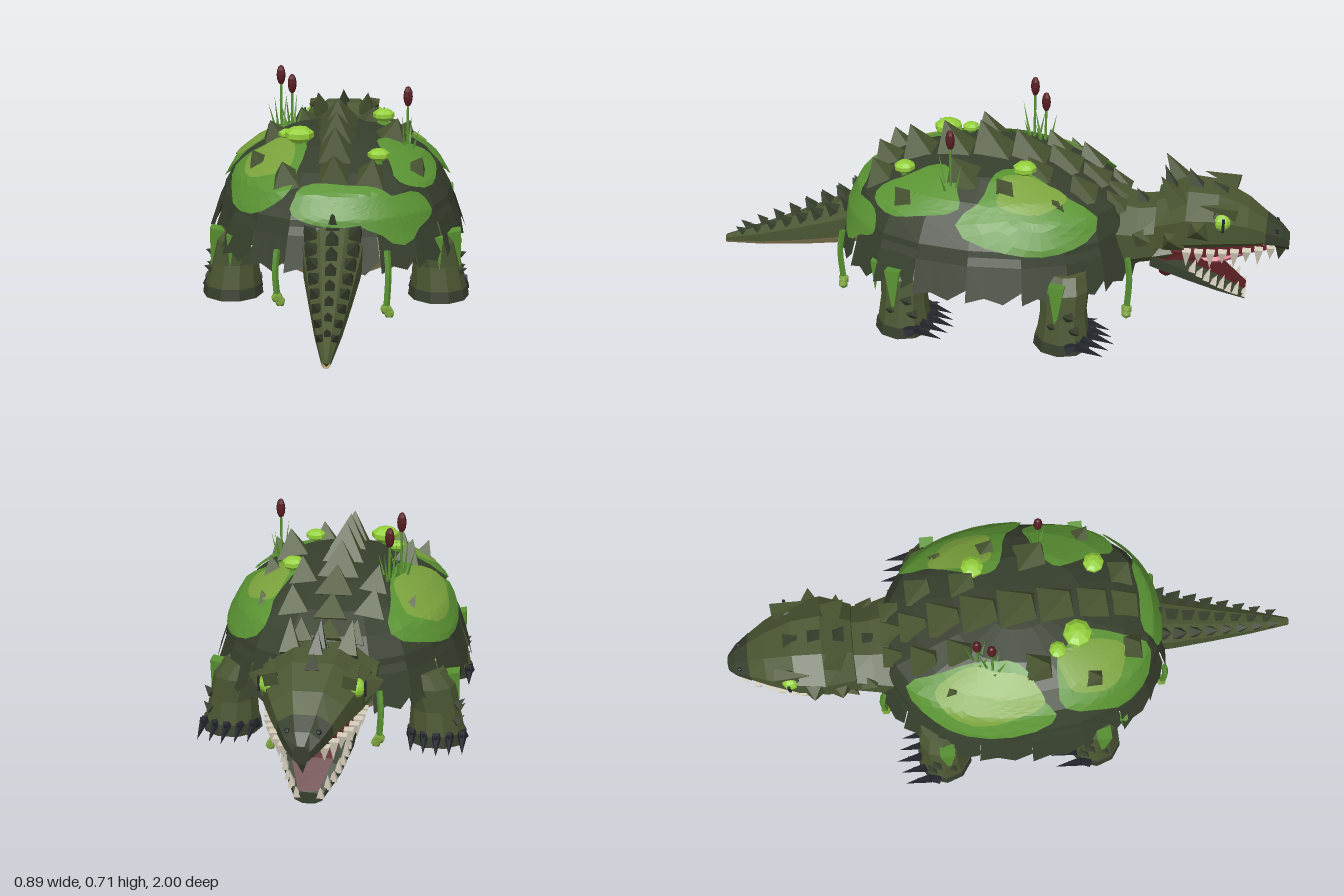
import * as THREE from 'three';

const mat = (name, color) => Object.assign(new THREE.MeshStandardMaterial({ color, flatShading: true, side: THREE.DoubleSide }), { name });
const skin = mat('olive skin', 0x4a5632), shell = mat('dark shell', 0x363f2d), moss = mat('moss', 0x5a9333),
  paleMoss = mat('pale moss', 0x7ba23c), lime = mat('lime', 0x94d03a), tan = mat('belly tan', 0xb8a676),
  maroon = mat('maroon', 0x571d21), pink = mat('tongue pink', 0xdc728a), ivory = mat('tooth ivory', 0xd6cebc),
  black = mat('claw black', 0x20242a);
const V = (x, y, z) => new THREE.Vector3(x, y, z);

function add(parent, name, geo, material, x = 0, y = 0, z = 0) {
  const m = new THREE.Mesh(geo, material);
  m.name = name;
  m.position.set(x, y, z);
  parent.add(m);
  return m;
}

// Skin over a stack of rings; from/to picks a band of sides, full lofts can be capped
function loft(rings, from = 0, to = rings[0].length, caps = true) {
  const pos = [], n = rings[0].length;
  const tri = (...ps) => ps.forEach(p => pos.push(p.x, p.y, p.z));
  for (let i = 0; i + 1 < rings.length; i++) for (let k = from; k < to; k++) {
    const a = rings[i][k % n], b = rings[i][(k + 1) % n], c = rings[i + 1][k % n], d = rings[i + 1][(k + 1) % n];
    tri(a, b, c); tri(b, d, c);
  }
  if (caps) for (let k = 1; k + 1 < n; k++) {
    const f = rings[0], l = rings[rings.length - 1];
    tri(f[0], f[k + 1], f[k]); tri(l[0], l[k], l[k + 1]);
  }
  const g = new THREE.BufferGeometry();
  g.setAttribute('position', new THREE.Float32BufferAttribute(pos, 3));
  g.computeVertexNormals();
  return g;
}

// Eight-sided body section across z: [z, half width, top, bottom]
const section = ([z, w, top, bot]) => Array.from({ length: 8 }, (_, k) => {
  const a = (k + 0.5) * Math.PI / 4;
  return V(w * Math.cos(a) / 0.924, (top + bot) / 2 + (top - bot) / 2 * Math.sin(a) / 0.924, z);
});

// Pyramid or cone from a base point to a tip
function spike(parent, name, material, base, tip, r, sides = 4) {
  const d = tip.clone().sub(base), len = d.length();
  const g = new THREE.ConeGeometry(r, len, sides).rotateY(Math.PI / 4).translate(0, len / 2, 0);
  const m = add(parent, name, g, material, base.x, base.y, base.z);
  m.quaternion.setFromUnitVectors(V(0, 1, 0), d.normalize());
}

// Shell profile rows: height, half width, half length
const profile = [[.52, .002, .002], [.515, .08, .10], [.50, .19, .22], [.45, .285, .36], [.40, .345, .45], [.33, .385, .485], [.28, .398, .495], [.165, .437, .525]];
function shellRow(s) {
  const i = Math.min(Math.floor(s), 6), f = s - i;
  return profile[i].map((v, j) => v + (profile[i + 1][j] - v) * f);
}
function shellPoint(theta, s, grow = 0) {
  const [y, rx, rz] = shellRow(s);
  const soft = v => Math.sign(v) * Math.abs(v) ** 0.9;
  return V((rx + grow) * soft(Math.cos(theta)), y + grow * 0.7, 0.01 + (rz + grow) * soft(Math.sin(theta)));
}
function shellTop(x, z) {
  for (let s = 0; s < 5; s += 0.1) {
    const [y, rx, rz] = shellRow(s);
    if ((x / rx) ** 2 + (z / rz) ** 2 <= 1) return y;
  }
  return 0.35;
}

function buildShell(g) {
  const N = 20, ring = s => Array.from({ length: N }, (_, k) => shellPoint(k / N * 2 * Math.PI, s));
  add(g, 'shellDome', loft([0, 1, 2, 3, 4, 5, 6].map(ring), 0, N, false), shell);
  // Skirt of flat plates with ragged lower edges
  for (let p = 0; p < N; p++) {
    const row = (ss, grow) => ss.map((s, j) =>
      shellPoint(p / N * 2 * Math.PI, s, grow).lerp(shellPoint((p + 1) / N * 2 * Math.PI, s, grow), j / 3));
    const lift = 0.005 * (p % 2);
    add(g, 'skirtPlate', loft([row([5.4, 5.4, 5.4, 5.4], 0), row([6, 6, 6, 6], lift), row([6.65, 7, 6.85, 7], lift)], 0, 3, false), shell);
  }
  // Moss blobs: angle, row, angular radius, row radius
  const blob = (material, grow, [t, s, dt, ds], n) => {
    const rings = [0.01, .2, .4, .6, .8, 1].map(r => Array.from({ length: 24 }, (_, k) => {
      const a = k / 24 * 2 * Math.PI, q = r * (1 + 0.08 * Math.sin(3 * a + n) + 0.05 * Math.sin(5 * a));
      return shellPoint(t - q * dt * Math.cos(a), s + q * ds * Math.sin(a), grow);
    }));
    add(g, 'mossPatch', loft(rings, 0, 24, false), material);
  };
  [[-.45, 3.5, .5, 1.9], [.55, 3.0, .42, 1.2], [1.5, 4.4, .42, .95], [1.05, 5.1, .35, 1.1],
    [2.4, 3.4, .5, 1.7], [3.55, 3.6, .58, 1.7]].forEach((b, n) => blob(moss, .009, b, n));
  [[-.5, 2.7, .34, .8], [2.45, 2.8, .38, .9], [3.5, 3.2, .46, 1.1]].forEach((b, n) => blob(paleMoss, .013, b, n + 1));
  const rim = ([y, rx, rz]) => Array.from({ length: 16 }, (_, k) => {
    const a = k / 16 * 2 * Math.PI;
    return V(rx * Math.cos(a), y, rz * Math.sin(a));
  });
  add(g, 'belly', loft([[.19, .38, .465], [.16, .31, .455], [.13, .25, .435], [.105, .11, .36]].map(rim)), tan);
  // Central ridge: z, tip height, size
  [[.36, .52, .085], [.25, .585, .096], [.13, .61, .1], [.005, .622, .1], [-.12, .60, .096], [-.24, .555, .088], [-.35, .50, .074], [-.43, .44, .062]]
    .forEach(([z, y, r]) => spike(g, 'ridgeSpike', skin, V(0, shellTop(0, z) - .03, z), V(0, y, z + .045), r));
  // Scattered side spikes
  [[.11, .36, .08], [-.145, .36, .085], [.25, .24, .065], [-.24, .22, .065], [-.2, .05, .075], [.18, .07, .08], [.11, -.17, .065], [.22, -.09, .06],
    [-.12, -.2, .065], [.12, -.32, .07], [-.12, -.32, .07], [.22, -.27, .045], [-.23, -.26, .045], [.08, -.43, .05], [-.08, -.43, .05]]
    .forEach(([x, z, r]) => {
      const y = shellTop(x, z);
      spike(g, 'shellSpike', skin, V(x, y - .025, z), V(x * 1.12, y + r * .9, z + .035), r);
    });
}

function buildPlants(g) {
  [[-.2, -.1, .71], [-.165, -.145, .67], [.235, .1, .68]].forEach(([x, z, top]) => {
    const y = shellTop(x, z) - .02;
    add(g, 'reedStem', new THREE.CylinderGeometry(.004, .005, top - y - .05, 5), moss, x, (top - .05 + y) / 2, z);
    add(g, 'cattailHead', new THREE.SphereGeometry(.0155, 8, 6).scale(1, 2.25, 1), maroon, x, top - .035, z);
    [[.04, .03], [-.045, .01], [.015, -.04], [-.02, .045]].forEach(([dx, dz], i) =>
      spike(g, 'reedBlade', moss, V(x + dx * .3, y, z + dz * .3), V(x + dx, y + .1 + .015 * i, z + dz), .007, 3));
  });
  [[-.12, .19, .535, .05], [.155, -.13, .53, .04], [.14, .28, .492, .037], [-.165, .12, .52, .03]].forEach(([x, z, y, r]) => {
    add(g, 'plantBud', new THREE.SphereGeometry(r, 8, 5).scale(1, .55, 1), lime, x, y, z);
    add(g, 'budStem', new THREE.CylinderGeometry(.012, .016, .06, 6), moss, x, y - .035, z);
  });
  // Trailing vines front and back
  [[-.175, .505, .085], [.168, .505, .05], [.17, -.485, .05], [-.17, -.485, .08]].forEach(([x, z, y]) => {
    const stem = new THREE.CatmullRomCurve3([V(x, .24, z * .99), V(x * 1.03, .17, z * 1.01), V(x, y, z)]);
    add(g, 'vine', new THREE.TubeGeometry(stem, 5, .011, 5), moss);
    add(g, 'vineBud', new THREE.IcosahedronGeometry(.02, 0), paleMoss, x, y, z);
    add(g, 'vineLeaf', new THREE.IcosahedronGeometry(.018, 0), paleMoss, x + .01, y - .014, z);
  });
  // Moss draped over the tops of the legs
  for (const x of [-1, 1]) {
    for (const z of [.26, -.28]) spike(g, 'hangingMoss', moss, V(x * .385, .235, z), V(x * .412, .08, z), .036, 4);
    spike(g, 'hangingMoss', moss, V(x * .335, .235, .335), V(x * .34, .12, .34), .02, 4);
  }
}

function buildLegs(g) {
  for (const s of [-1, 1]) for (const cz of [-.295, .24]) {
    const leg = new THREE.Group();
    leg.name = cz < 0 ? 'frontLeg' : 'backLeg';
    g.add(leg);
    const ring = ([y, x, r]) => Array.from({ length: 10 }, (_, k) => {
      const a = k / 10 * 2 * Math.PI;
      return V(s * x + r * Math.cos(a), y, cz + r * .96 * Math.sin(a));
    });
    add(leg, 'limb', loft([[.25, .29, .072], [.2, .315, .085], [.12, .335, .08], [.035, .342, .092]].map(ring)), skin);
    add(leg, 'foot', loft([[.04, .342, .096], [.004, .342, .101]].map(ring)), shell);
    // Long curved claws fanned along the toe edge
    for (let i = -2; i <= 2; i++) {
      const x = s * .345 + i * .041, z = cz - .08 + Math.abs(i) * .012;
      spike(leg, 'clawBase', black, V(x, .026, z + .03), V(x, .055, z - .05), .021, 5);
      spike(leg, 'claw', black, V(x, .042, z), V(x * 1.01, .016, z - .092), .017, 5);
    }
    for (const [y, dz] of [[.09, .02], [.13, -.03], [.08, -.05]])
      spike(leg, 'legThorn', shell, V(s * .40, y, cz + dz), V(s * .432, y + .02, cz + dz + .02), .02);
  }
}

function buildTail(g) {
  const data = [[.40, .105, .36, .15], [.55, .088, .28, .12], [.70, .064, .21, .092], [.85, .04, .145, .07], [1.0, .012, .085, .056]];
  const rings = data.map(section);
  add(g, 'tail', loft(rings, 0, 4, false), skin);
  add(g, 'tailSide', loft(rings, 7, 8, false), skin);
  add(g, 'tailUnderside', loft(rings, 4, 7, false), tan);
  add(g, 'tailTip', new THREE.OctahedronGeometry(.014), skin, 0, .071, .986);
  // Three rows of spikes shrinking to the tip
  for (let i = 0; i < 8; i++) {
    const z = .48 + i * .06, j = Math.min(Math.floor((z - .4) / .15), 3), f = (z - data[j][0]) / .15;
    const [, w, top] = data[j].map((v, k) => v + (data[j + 1][k] - v) * f), r = .036 - i * .0025;
    spike(g, 'tailSpike', shell, V(0, top - .012, z), V(0, top + r * 1.25, z + .03), r);
    for (const s of [-1, 1]) spike(g, 'tailSideSpike', shell, V(s * w * .72, top - w * .3, z + .02), V(s * w * .9, top - w * .25 + r, z + .05), r * .85);
  }
}

function buildHead(g) {
  const skull = [[-.93, .073, .355, .268], [-.86, .108, .405, .262], [-.76, .148, .45, .255], [-.66, .164, .455, .245], [-.56, .14, .41, .21]];
  const jaw = [[-.87, .04, .085, .048], [-.78, .085, .148, .085], [-.68, .112, .20, .125], [-.55, .12, .26, .165]];
  add(g, 'neck', loft([[-.6, .135, .39, .19], [-.5, .15, .375, .17], [-.38, .18, .40, .16]].map(section)), skin);
  add(g, 'skull', loft(skull.map(section)), skin);
  add(g, 'beak', loft([[-1.0, .025, .30, .245], [-.97, .052, .33, .255], [-.92, .08, .362, .266]].map(section)), shell);
  spike(g, 'beakHook', shell, V(0, .27, -.975), V(0, .2, -.97), .032);
  add(g, 'lowerJaw', loft(jaw.map(section)), shell);
  // Mouth linings follow the jaw surfaces
  const lining = (rows, k, dy, f) => loft(rows.map(r => [V(-r[1] * f, r[k] + dy, r[0]), V(r[1] * f, r[k] + dy, r[0])]), 0, 1, false);
  add(g, 'palate', lining(skull, 3, -.006, .8), maroon);
  add(g, 'mouthFloor', lining(jaw, 2, .005, .75), maroon);
  add(g, 'mouthCorner', loft([[-.70, .085, .262, .19], [-.58, .115, .27, .2]].map(section)), maroon);
  add(g, 'throatPouch', new THREE.SphereGeometry(.055, 8, 6).scale(1.2, .8, .65), maroon, 0, .15, -.6);
  const path = new THREE.CatmullRomCurve3([V(0, .185, -.68), V(0, .182, -.76), V(0, .215, -.84), V(0, .25, -.9)]);
  add(g, 'tongue', new THREE.TubeGeometry(path, 8, .014, 6).scale(1.7, 1, 1), pink);
  for (const s of [-1, 1]) {
    spike(g, 'tongueFork', pink, V(s * .01, .245, -.89), V(s * .03, .268, -.935), .012, 5);
    // Teeth along both jaws
    for (let i = 0; i < 8; i++) {
      const f = i / 7, z = -.67 - f * .27, w = .14 - f * f * .08;
      spike(g, 'upperTooth', ivory, V(s * w, .276, z), V(s * w * .97, .212 + .016 * (i % 2), z), .02);
      const zl = -.69 - f * .17, wl = .1 - f * f * .065, yl = .185 - f * .11;
      spike(g, 'lowerTooth', ivory, V(s * wl, yl - .005, zl), V(s * wl * 1.05, yl + .044 - .014 * (i % 2), zl - .012), .016);
    }
    add(g, 'eyeSocket', new THREE.SphereGeometry(.036, 8, 6), shell, s * .115, .385, -.77);
    add(g, 'eye', new THREE.SphereGeometry(.03, 10, 8), lime, s * .128, .386, -.776);
    add(g, 'pupil', new THREE.BoxGeometry(.006, .046, .009), black, s * .157, .386, -.782);
    spike(g, 'brow', skin, V(s * .115, .418, -.82), V(s * .135, .44, -.70), .03);
    add(g, 'nostril', new THREE.SphereGeometry(.009, 6, 4), black, s * .045, .325, -.955);
    // Back-of-head horns and cheek thorns
    [[.085, .42, -.63, .095, .515, -.57, .045], [.14, .36, -.70, .205, .38, -.70, .055], [.13, .31, -.62, .19, .33, -.61, .055],
      [.12, .26, -.6, .16, .25, -.56, .035], [.13, .30, -.52, .165, .33, -.49, .04]]
      .forEach(([x, y, z, X, Y, Z, r]) => spike(g, 'horn', skin, V(s * x, y, z), V(s * X, Y, Z), r));
  }
  // Small crown spikes along the middle
  [[-.77, .44, .03], [-.69, .45, .06], [-.61, .425, .09], [-.52, .37, .05]].forEach(([z, y, h]) =>
    spike(g, 'crownSpike', shell, V(0, y - .015, z), V(0, y + h, z + .035), .034));
}

export function createModel() {
  const model = new THREE.Group();
  model.name = 'swampTurtle';
  for (const [name, build] of [['shell', buildShell], ['plants', buildPlants], ['legs', buildLegs], ['tail', buildTail], ['head', buildHead]]) {
    const g = new THREE.Group();
    g.name = name;
    build(g);
    model.add(g);
  }
  return model;
}
